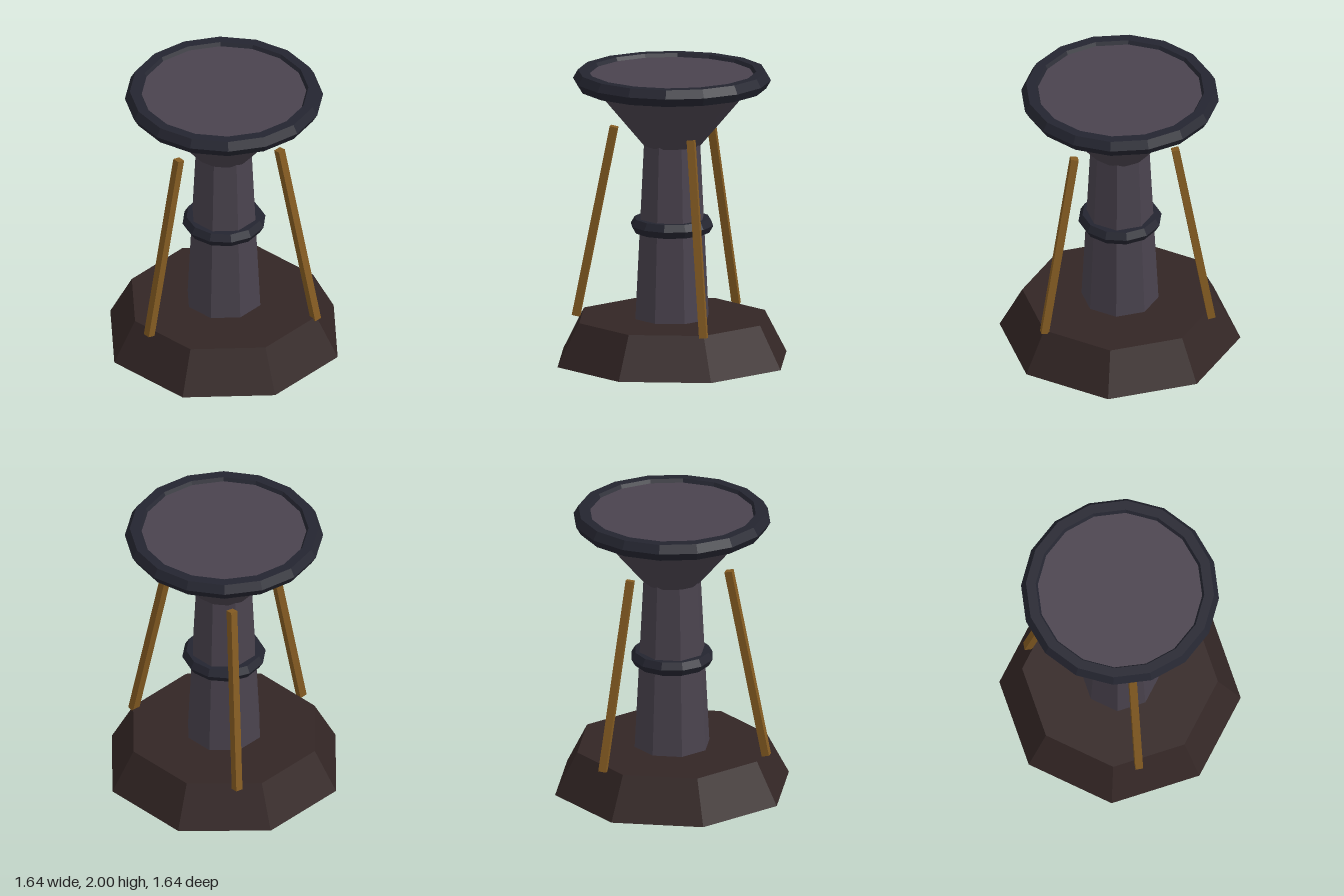
import * as THREE from 'three';

const flat = (name, color) => {
  const m = new THREE.MeshStandardMaterial({ color, flatShading: true });
  m.name = name;
  return m;
};

export function createModel() {
  const stone = flat('purple grey stone', 0x4a434e);
  const earth = flat('dark brown base', 0x332625);
  const iron = flat('dark blue iron', 0x242530);
  const brass = flat('old brass', 0x855c22);

  const model = new THREE.Group();
  model.name = 'pedestal';

  const add = (name, geometry, material) => {
    const mesh = new THREE.Mesh(geometry, material);
    mesh.name = name;
    model.add(mesh);
    return mesh;
  };

  // Upright tapered drum between two heights
  const drum = (name, rBottom, rTop, y0, y1, sides, material) => {
    const mesh = add(name, new THREE.CylinderGeometry(rTop, rBottom, y1 - y0, sides), material);
    mesh.position.y = (y0 + y1) / 2;
  };

  // Horizontal ring with a six-sided section
  const ring = (name, radius, tube, y, sides) => {
    const mesh = add(name, new THREE.TorusGeometry(radius, tube, 6, sides).rotateX(Math.PI / 2), iron);
    mesh.position.y = y;
  };

  drum('base', 0.82, 0.665, 0, 0.295, 8, earth);
  drum('column', 0.263, 0.2, 0.28, 1.52, 8, stone);
  drum('bowl', 0.197, 0.605, 1.49, 1.975, 12, stone);
  ring('columnRing', 0.23, 0.055, 0.935, 12);
  ring('bowlRim', 0.606, 0.0665, 1.942, 16);

  // Three leaning square struts around the column
  const up = new THREE.Vector3(0, 1, 0);
  for (let i = 0; i < 3; i++) {
    const a = (i * Math.PI * 2) / 3;
    const at = (r, y) => new THREE.Vector3(r * Math.cos(a), y, r * Math.sin(a));
    const foot = at(0.662, 0.278);
    const head = at(0.4, 1.597);
    const dir = head.clone().sub(foot);
    const geometry = new THREE.CylinderGeometry(0.037, 0.037, dir.length(), 4).rotateY(Math.PI / 12);
    const strut = add('strut' + (i + 1), geometry, brass);
    strut.position.copy(foot).add(head).multiplyScalar(0.5);
    strut.quaternion.setFromUnitVectors(up, dir.normalize());
  }
  return model;
}
